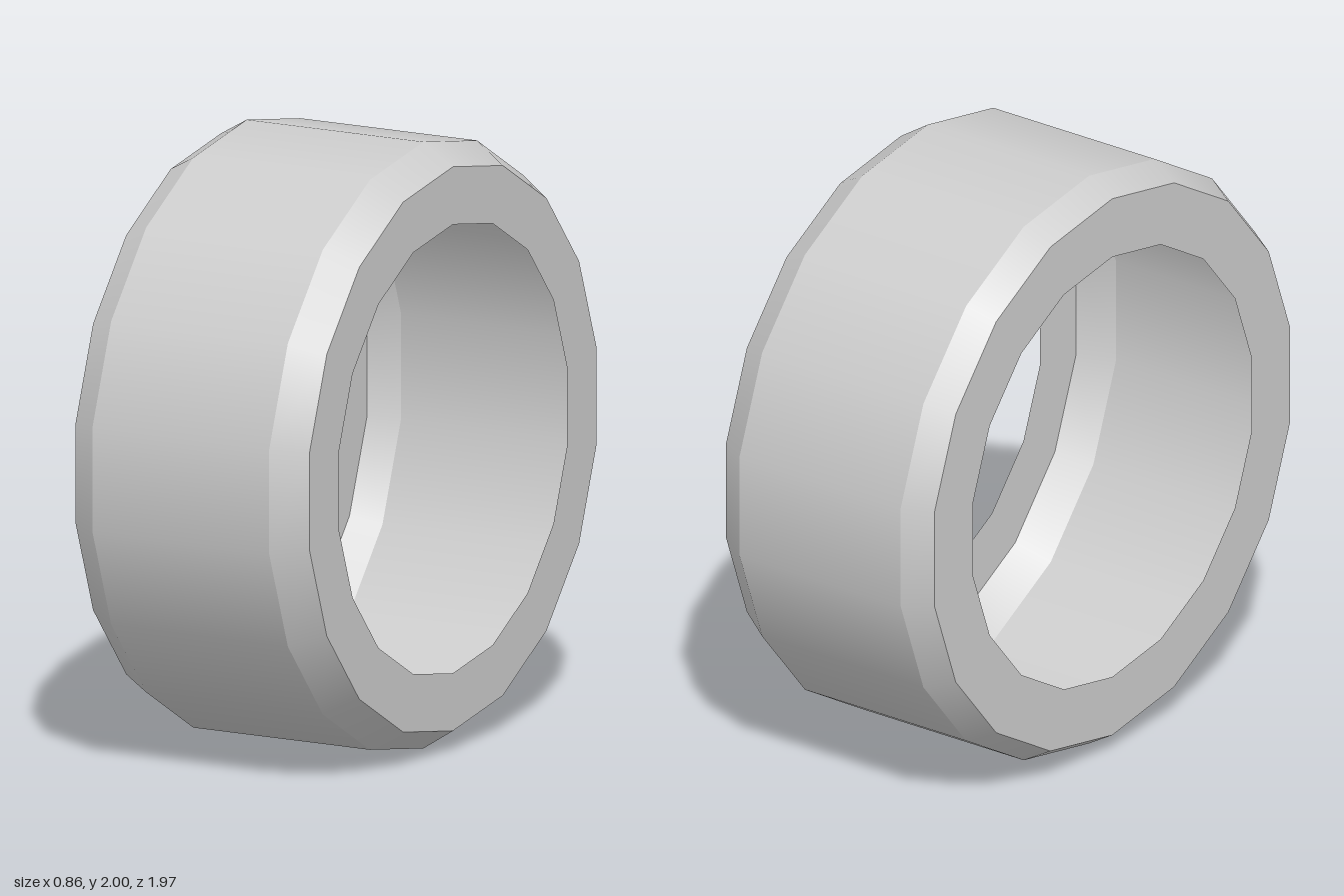
import * as THREE from 'three';

const SIDES = 18;

export function createModel() {
  const group = new THREE.Group();
  group.name = 'tyre';

  const grey = new THREE.MeshStandardMaterial({ color: 0xcccccc, side: THREE.DoubleSide });
  grey.name = 'light grey';

  // Open shell profile as [radius, x], from the right hole round to the left hole
  const profile = [
    [0.74, -0.432], [0.945, -0.432], [1, -0.337],
    [1, 0.322], [0.93, 0.432], [0.74, 0.432],
  ];
  const names = ['rightSidewall', 'rightShoulder', 'tread', 'leftShoulder', 'leftSidewall'];

  // One band per segment: smooth around the axis, sharp between bands
  names.forEach((name, i) => {
    const points = [profile[i], profile[i + 1]].map(([r, x]) => new THREE.Vector2(r, x));
    const geometry = new THREE.LatheGeometry(points, SIDES, Math.PI / 2);
    geometry.rotateZ(-Math.PI / 2); // lay the axle along x, with a corner at the top
    const band = new THREE.Mesh(geometry, grey);
    band.name = name;
    band.position.y = 1;
    group.add(band);
  });

  return group;
}
